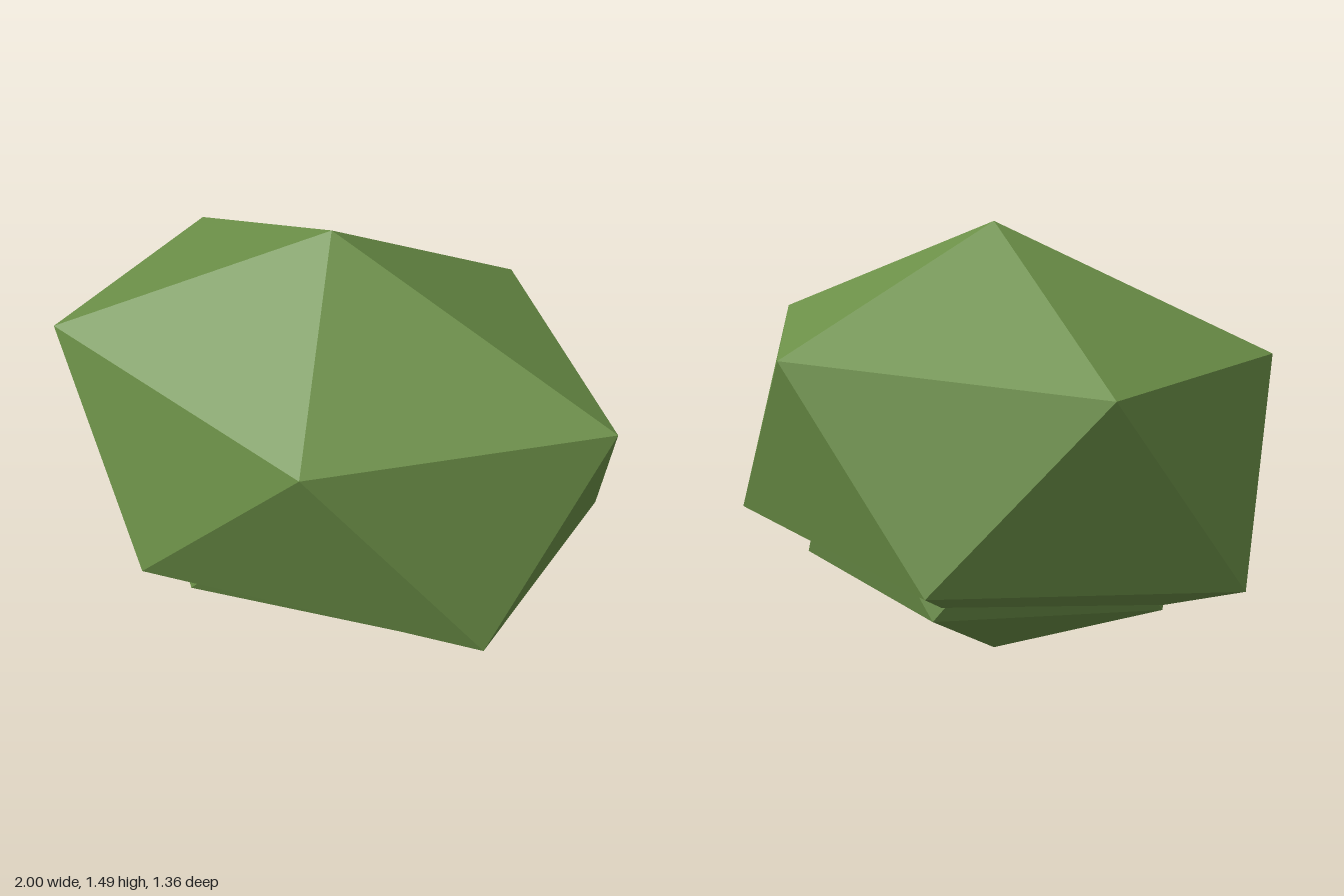
import * as THREE from 'three';

const leafGreen = new THREE.MeshStandardMaterial({ color: 0x6b8f47, flatShading: true });
leafGreen.name = 'leafGreen';

// Twenty-sided clump standing on a point, with one upper-ring corner towards +x
function clump(name, y, sx, sy, sz) {
  const geometry = new THREE.IcosahedronGeometry(1, 0);
  geometry.rotateX(-Math.atan((1 + Math.sqrt(5)) / 2));
  geometry.rotateY(Math.PI / 2);
  geometry.scale(sx, sy, sz);
  geometry.computeVertexNormals();
  const mesh = new THREE.Mesh(geometry, leafGreen);
  mesh.name = name;
  mesh.position.y = y;
  return mesh;
}

export function createModel() {
  const group = new THREE.Group();
  group.name = 'bush';
  // Wide crown, and a smaller clump poking out underneath
  group.add(clump('upperFoliage', 0.776, 1.118, 0.716, 0.8));
  group.add(clump('lowerFoliage', 0.578, 0.783, 0.575, 0.643));
  return group;
}
